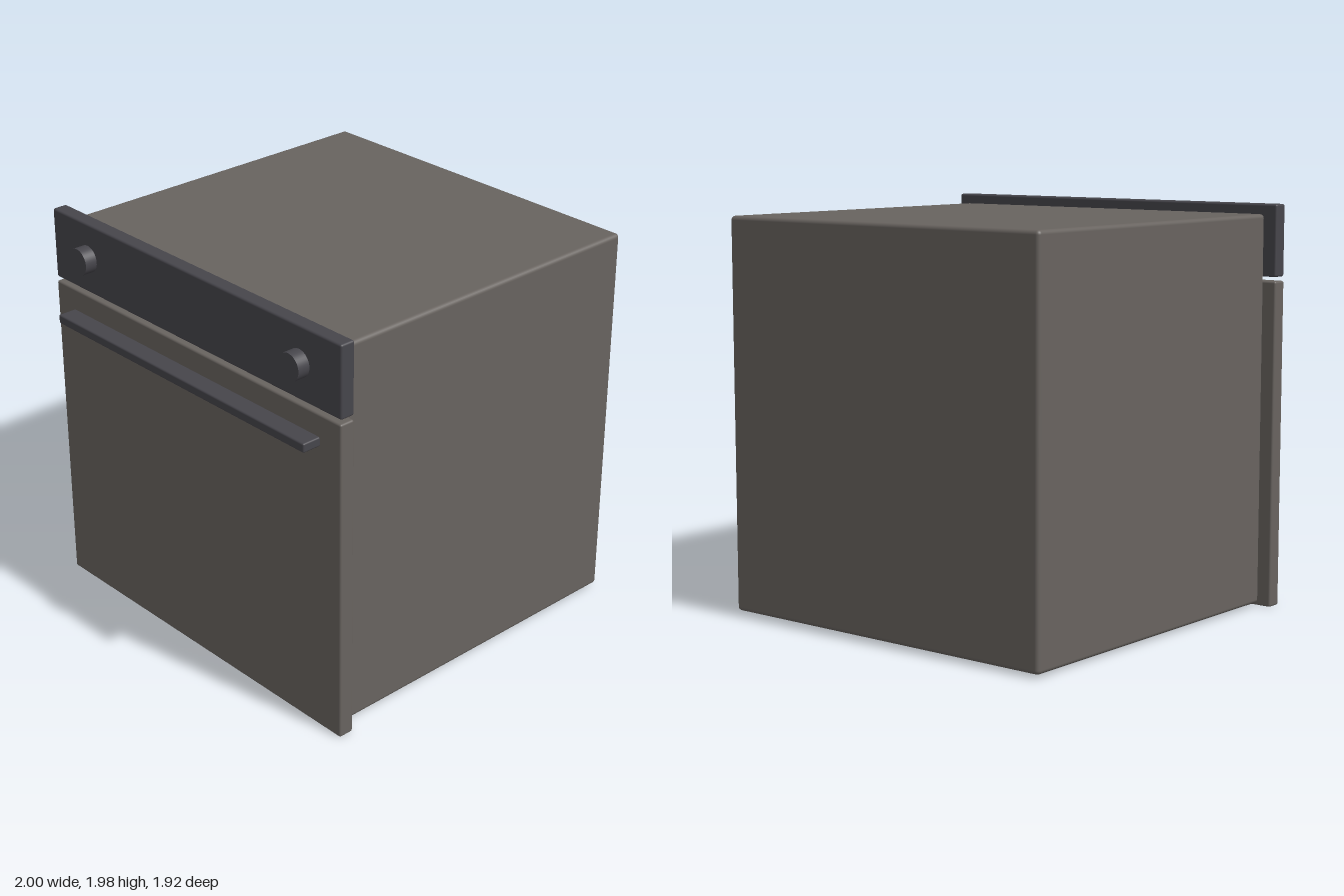
import * as THREE from 'three';
import { RoundedBoxGeometry } from 'three/addons/geometries/RoundedBoxGeometry.js';

export function createModel() {
  const oven = new THREE.Group();
  oven.name = 'oven';

  const steel = new THREE.MeshStandardMaterial({ color: 0x68635f });
  steel.name = 'warm grey steel';
  const dark = new THREE.MeshStandardMaterial({ color: 0x46454b });
  dark.name = 'dark grey trim';

  // Rounded box given by its extents; x is symmetric
  function slab(name, halfWidth, [y0, y1], [z0, z1], radius, material) {
    const geometry = new RoundedBoxGeometry(2 * halfWidth, y1 - y0, z1 - z0, 3, radius);
    const mesh = new THREE.Mesh(geometry, material);
    mesh.name = name;
    mesh.position.set(0, (y0 + y1) / 2, (z0 + z1) / 2);
    oven.add(mesh);
  }

  // Cabinet, door, control panel and handle bar
  slab('cabinet', 0.938, [0.015, 1.93], [-0.96, 0.785], 0.02, steel);
  slab('door', 1, [0, 1.607], [0.788, 0.866], 0.01, steel);
  slab('controlPanel', 1, [1.628, 1.978], [0.788, 0.864], 0.01, dark);
  slab('handle', 0.87, [1.455, 1.5], [0.862, 0.96], 0.008, dark);

  // Control knobs
  const knobGeometry = new THREE.CylinderGeometry(0.066, 0.066, 0.066, 40);
  knobGeometry.rotateX(Math.PI / 2);
  for (const side of [-1, 1]) {
    const knob = new THREE.Mesh(knobGeometry, dark);
    knob.name = side > 0 ? 'leftKnob' : 'rightKnob';
    knob.position.set(side * 0.738, 1.803, 0.893);
    oven.add(knob);
  }

  return oven;
}
